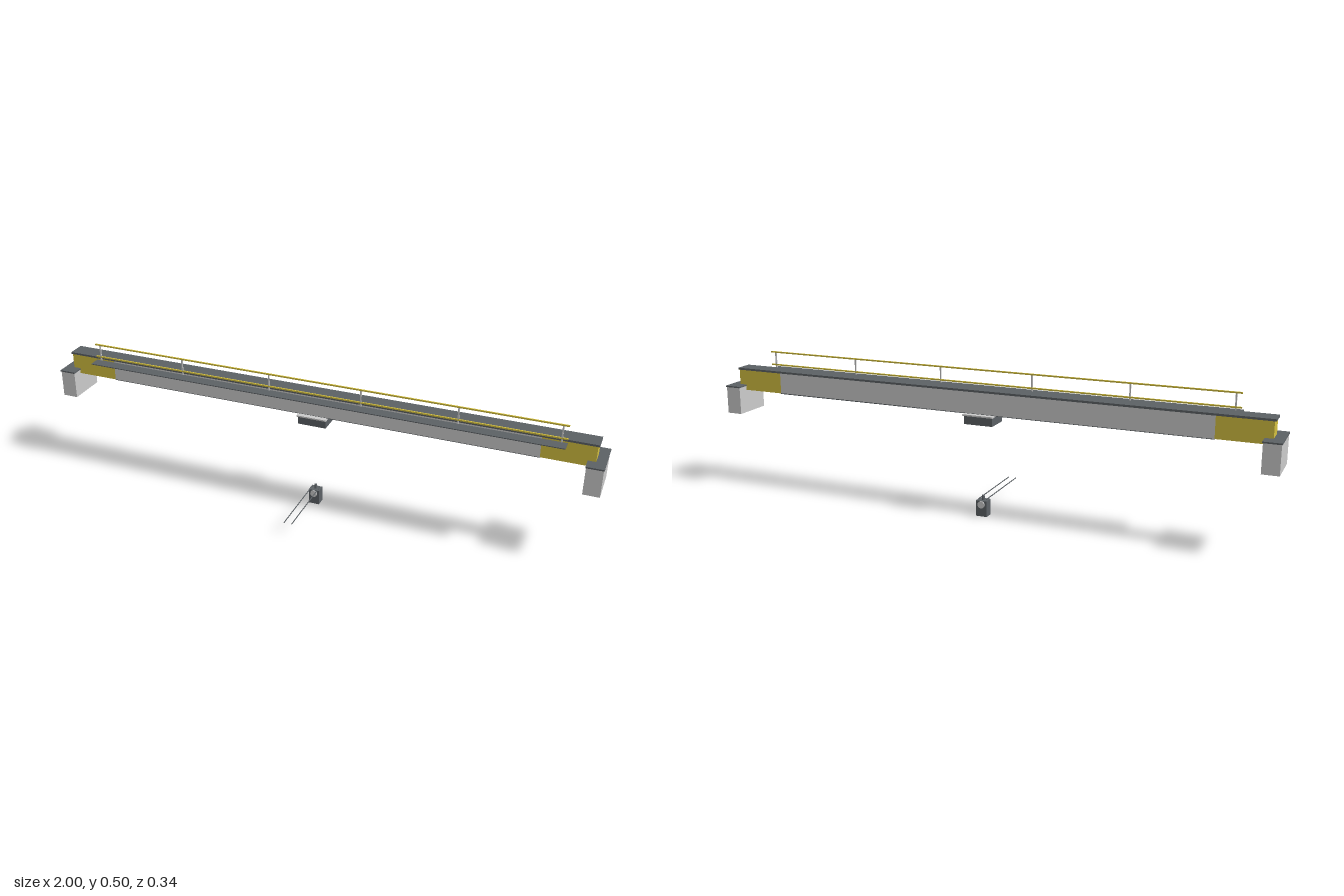
import * as THREE from 'three';

const light = new THREE.MeshStandardMaterial({ color: 0xcccccc });
const dark = new THREE.MeshStandardMaterial({ color: 0x5c6165 });
const yellow = new THREE.MeshStandardMaterial({ color: 0xd4c040 });

export function createModel() {
  const model = new THREE.Group();

  const add = (name, geometry, material, x, y, z, parent = model) => {
    const mesh = new THREE.Mesh(geometry, material);
    mesh.name = name;
    mesh.position.set(x, y, z);
    parent.add(mesh);
    return mesh;
  };
  // Box given by its lower and upper limits on each axis
  const box = (name, material, [x0, x1], [y0, y1], [z0, z1], parent) =>
    add(name, new THREE.BoxGeometry(x1 - x0, y1 - y0, z1 - z0), material,
      (x0 + x1) / 2, (y0 + y1) / 2, (z0 + z1) / 2, parent);
  const group = (name) => {
    const g = new THREE.Group();
    g.name = name;
    model.add(g);
    return g;
  };

  // Main girder with painted ends and a dark top flange
  const girder = group('girder');
  const gz = [-0.123, -0.062];
  box('girderWeb', light, [-0.79, 0.79], [0.367, 0.441], gz, girder);
  for (const s of [-1, 1]) {
    const x = s < 0 ? [-0.967, -0.79] : [0.79, 0.967];
    box('girderEnd', yellow, x, [0.367, 0.441], gz, girder);
  }
  box('topFlange', dark, [-0.972, 0.972], [0.441, 0.448], [-0.124, -0.061], girder);
  box('bottomFlange', dark, [-0.79, 0.79], [0.365, 0.368], gz, girder);

  // End carriages that carry the girder
  for (const s of [-1, 1]) {
    const carriage = group(s < 0 ? 'rightEndCarriage' : 'leftEndCarriage');
    const cx = s * 0.97;
    box('carriageBody', light, [cx - 0.028, cx + 0.028], [0.284, 0.382], [-0.164, -0.021], carriage);
    box('carriageCap', dark, [cx - 0.03, cx + 0.03], [0.382, 0.387], [-0.168, -0.018], carriage);
  }

  // Walkway along the front with its railing
  const walkway = group('walkway');
  const ends = [-0.855, 0.873];
  box('deck', dark, ends, [0.438, 0.441], [-0.052, -0.011], walkway);
  box('handRail', yellow, ends, [0.5, 0.505], [-0.053, -0.048], walkway);
  box('lowerRail', yellow, ends, [0.453, 0.458], [-0.053, -0.048], walkway);
  for (let i = 0; i < 6; i++) {
    const x = -0.836 + i * 0.338;
    box('railPost', light, [x - 0.0025, x + 0.0025], [0.441, 0.501], [-0.0525, -0.0485], walkway);
  }

  // Trolley hung beneath the girder
  const trolley = group('trolley');
  box('trolleyPlate', light, [-0.055, 0.055], [0.361, 0.366], [-0.142, -0.044], trolley);
  box('trolleyBody', dark, [-0.052, 0.052], [0.331, 0.361], [-0.135, -0.051], trolley);

  // Hook block with its sheave, stem and two ropes
  const hook = group('hookBlock');
  const hz = -0.092;
  box('hookBody', dark, [-0.02, 0.02], [0, 0.056], [-0.109, -0.075], hook);
  const sheave = add('sheave', new THREE.CylinderGeometry(0.0125, 0.0125, 0.044, 24), light, 0, 0.043, hz, hook);
  sheave.rotation.x = Math.PI / 2;
  add('hookStem', new THREE.CylinderGeometry(0.005, 0.005, 0.018, 12), dark, 0, 0.064, hz, hook);
  for (const s of [-1, 1]) {
    const rope = add('rope', new THREE.CylinderGeometry(0.0018, 0.0018, 0.265, 8), dark, s * 0.014, 0.06, 0.0365, hook);
    rope.rotation.x = Math.PI / 2;
  }

  return model;
}
